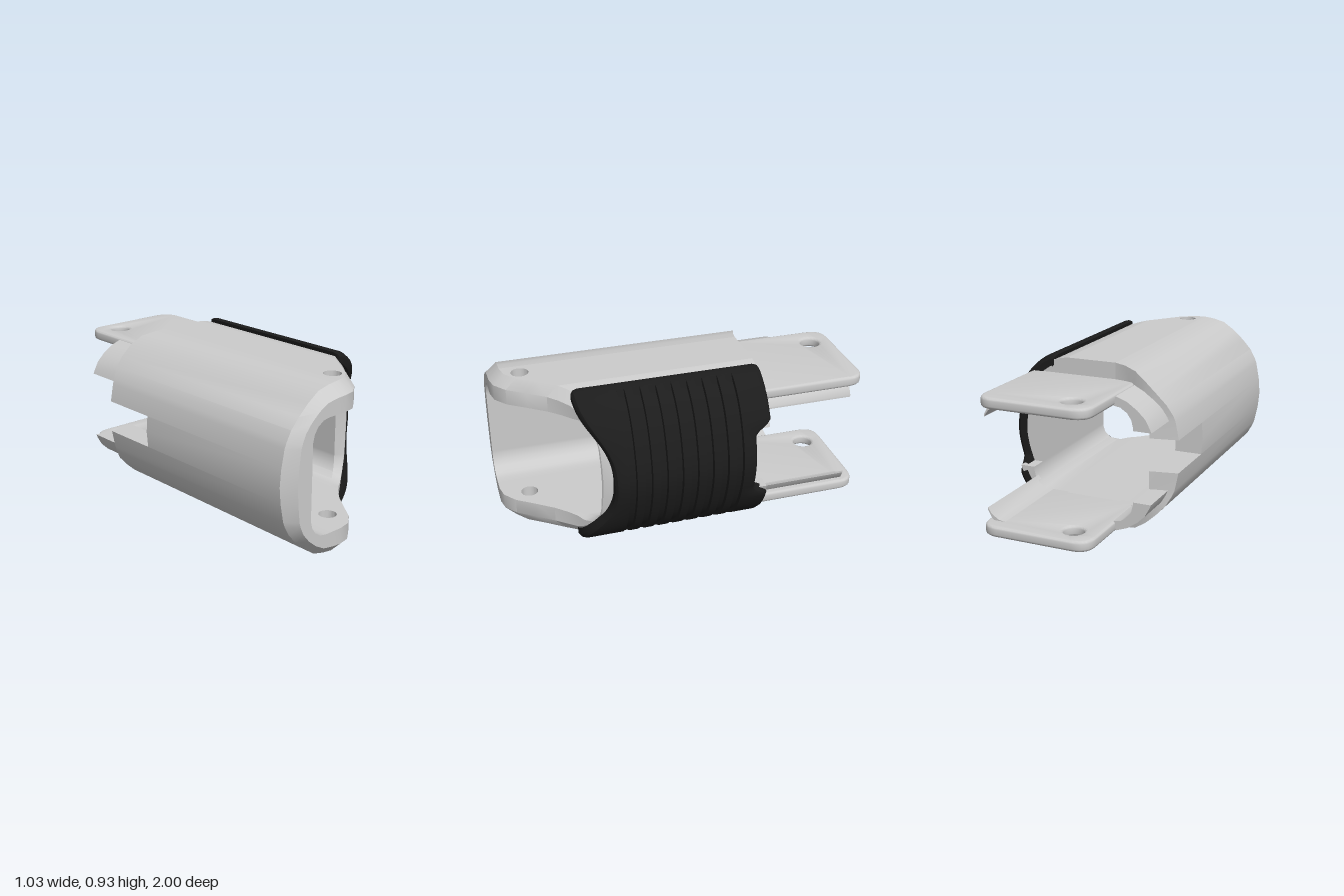
import * as THREE from 'three';
import { toCreasedNormals } from 'three/addons/utils/BufferGeometryUtils.js';

const CY = 0.47; // height of the tube axis
const smooth = (x, a, b) => THREE.MathUtils.smoothstep(x, a, b);
const lerp = THREE.MathUtils.lerp;

// front end of the tube: straight on one side, swept back on the grip side
const FRONT = [[-0.6, 1], [-0.14, 1], [-0.07, 0.985], [0, 0.93], [0.07, 0.83], [0.14, 0.735], [0.22, 0.65], [0.36, 0.55], [0.5, 0.47]];
function frontZ(x) {
  let k = 0;
  while (k < FRONT.length - 2 && x > FRONT[k + 1][0]) k++;
  const [a, b] = [FRONT[k], FRONT[k + 1]];
  return lerp(a[1], b[1], (x - a[0]) / (b[0] - a[0]));
}

// matched quarter sections (x, height above axis), from top centre to the side
const OUTER = [[0, 0.457], [0.07, 0.457], [0.14, 0.457], [0.2, 0.45], [0.27, 0.433], [0.34, 0.385], [0.4, 0.33], [0.45, 0.275], [0.48, 0.22], [0.492, 0.19], [0.512, 0.09], [0.52, 0]];
const INNER = [[0, 0.31], [0.07, 0.31], [0.14, 0.31], [0.2, 0.31], [0.25, 0.31], [0.29, 0.303], [0.328, 0.278], [0.35, 0.245], [0.36, 0.205], [0.36, 0.19], [0.36, 0.09], [0.36, 0]];

// mirror a quarter into a full ring
function ring(q) {
  const flip = (sx, sy) => q.map(([x, y]) => [x * sx, y * sy]);
  return [...flip(1, 1), ...flip(1, -1).reverse().slice(1), ...flip(-1, -1).slice(1), ...flip(-1, 1).reverse().slice(1, -1)];
}
const inner = ring(INNER);
// the grip side is recessed to take the pad
const outer = ring(OUTER).map(([x, v]) => [x > 0.15 ? x * 0.9 : x, v]);
const N = inner.length;

const blend = (a, b, fx, fy = fx) => [lerp(a[0], b[0], fx), lerp(a[1], b[1], fy)];
const at = (p, z) => [p[0], p[1] + CY, z];

function quad(out, a, b, c, d) {
  out.push(...a, ...b, ...c, ...a, ...c, ...d);
}
function soup(out, crease = 0.55) {
  const g = new THREE.BufferGeometry();
  g.setAttribute('position', new THREE.Float32BufferAttribute(out, 3));
  return toCreasedNormals(g, crease);
}
// skin between two matching lists of points
function strip(out, P, Q) {
  for (let k = 0; k < P.length - 1; k++) quad(out, P[k], P[k + 1], Q[k + 1], Q[k]);
}

// thick tube wall, one strip per column, with a stepped notch at the back
function tubeGeometry() {
  const out = [];
  const baseZ = i => {
    const j = (i + 1) % N;
    const x = (inner[i][0] + inner[j][0]) / 2, v = Math.abs(inner[i][1] + inner[j][1]) / 2;
    if (x < -0.3 && v < 0.09) return -0.1;
    if (x > 0.3 && v < 0.19) return -0.31;
    return -0.41;
  };
  const backZ = (p, b) => b < -0.4 ? b - 0.06 * smooth(-p[0], 0.14, 0.36) + 0.03 * smooth(-p[0], 0.42, 0.5) : b;
  const column = (i, b) => {
    const O = outer[i], I = inner[i];
    const rim = blend(O, I, 0.4);
    const flare = blend(I, O, 0.5 * smooth(I[0], 0.25, 0.35));
    return [at(O, backZ(O, b)), at(O, frontZ(O[0]) - 0.06), at(rim, frontZ(rim[0])),
      at(flare, frontZ(flare[0])), at(I, frontZ(I[0]) - 0.06), at(I, backZ(I, b)), at(O, backZ(O, b))];
  };
  for (let i = 0; i < N; i++) {
    const j = (i + 1) % N, b = baseZ(i), prev = baseZ((i + N - 1) % N);
    let P = column(i, b), Q = column(j, b);
    const flat = Math.abs(inner[i][0]) < 0.15 && Math.abs(inner[j][0]) < 0.15;
    if (flat) { P = P.slice(1, 5); Q = Q.slice(1, 5); } // slabs fill the rest
    strip(out, P, Q);
    if (prev !== b) {
      const A = column(i, prev);
      const w = [A[0], P[0], P[5], A[5]];
      quad(out, ...(b > prev ? w : w.reverse()));
    }
  }
  return soup(out);
}

// thin wall running along some of the columns behind the tube
function thinWall(test, z0, z1, fx) {
  const out = [];
  const column = i => {
    const I = inner[i], M = blend(I, outer[i], fx, 0.4);
    return [at(M, z0), at(M, z1), at(I, z1), at(I, z0), at(M, z0)];
  };
  for (let i = 0; i < N; i++) {
    const j = (i + 1) % N;
    if (!test(inner[i]) || !test(inner[j])) continue;
    strip(out, column(i), column(j));
    for (const [c, other] of [[i, (i + N - 1) % N], [j, (j + 1) % N]]) {
      if (!test(inner[other])) quad(out, ...column(c).slice(0, 4));
    }
  }
  return soup(out);
}

// flat slab drawn in plan (x, z) with a round hole
function slab(shape, hx, hz, r, top, thick, bevel) {
  shape.holes.push(new THREE.Path().absarc(hx, hz, r, 0, Math.PI * 2, true));
  const g = new THREE.ExtrudeGeometry(shape, {
    depth: thick - 2 * bevel, curveSegments: 16, bevelEnabled: bevel > 0,
    bevelSize: bevel, bevelThickness: bevel, bevelOffset: -bevel, bevelSegments: 3
  });
  g.rotateX(Math.PI / 2).translate(0, top - bevel, 0);
  return toCreasedNormals(g, 0.55);
}
function wallShape() {
  const s = new THREE.Shape().moveTo(-0.14, -0.41);
  for (const x of [-0.14, -0.07, 0, 0.07, 0.14]) s.lineTo(x, frontZ(x) - 0.06);
  return s.lineTo(0.14, -0.41);
}
function tongueShape() {
  const r = 0.1, a = -0.26, b = 0.355;
  return new THREE.Shape().moveTo(b, -0.38).lineTo(a, -0.38).lineTo(a, -1 + r)
    .quadraticCurveTo(a, -1, a + r, -1).lineTo(b - r, -1).quadraticCurveTo(b, -1, b, -1 + r);
}

// ribbed pad wrapped round the swept side
function gripGeometry() {
  const half = [[0.195, 0.45], [0.22, 0.467], [0.26, 0.458], [0.3, 0.435], [0.36, 0.385], [0.41, 0.325], [0.45, 0.255], [0.48, 0.18], [0.505, 0.09], [0.515, 0]];
  const pts = [...half, ...half.slice(0, -1).reverse().map(([x, v]) => [x, -v])];
  const curve = new THREE.CatmullRomCurve3(pts.map(p => new THREE.Vector3(p[0], p[1], 0)));
  const n = 64, T = 0.06, cols = [];
  for (let i = 0; i <= n; i++) {
    const p = curve.getPointAt(i / n), t = curve.getTangentAt(i / n);
    const v = Math.abs(p.y);
    const zf = lerp(0.465, 0.625, Math.pow(smooth(v, 0, 0.47), 1.6));
    const zb = lerp(-0.325, -0.415, smooth(v, 0.16, 0.25));
    const cut = 0.02 * smooth(p.x, 0.26, 0.3);
    const rows = [[zf, 0], [zf, 0.035], [zf - 0.012, 0.052], [zf - 0.035, T]];
    for (let k = 0; k < 8; k++) {
      const c = 0.37 - k * 0.085;
      rows.push([c + 0.021, T], [c + 0.018, T - cut], [c - 0.018, T - cut], [c - 0.021, T]);
    }
    rows.push([zb + 0.035, T], [zb + 0.012, 0.052], [zb, 0.035], [zb, 0], [zf, 0]);
    const end = i === 0 || i === n ? 0.3 : 1;
    // outward normal of the section is (-t.y, t.x)
    cols.push(rows.map(([z, h]) => {
      const d = h * end - T;
      return at([p.x - t.y * d, p.y + t.x * d], z);
    }));
  }
  const out = [];
  for (let i = 0; i < n; i++) strip(out, cols[i + 1].slice().reverse(), cols[i].slice().reverse());
  // close the two long edges
  for (const c of [cols[0], cols[n]]) {
    for (let k = 1; k < c.length - 2; k++) out.push(...c[0], ...c[k], ...c[k + 1]);
  }
  return soup(out, 0.6);
}

export function createModel() {
  const group = new THREE.Group();
  const grey = new THREE.MeshStandardMaterial({ color: 0xcccccc, side: THREE.DoubleSide });
  const black = new THREE.MeshStandardMaterial({ color: 0x1c1c1c, side: THREE.DoubleSide });
  const add = (name, geometry, material = grey) => {
    const m = new THREE.Mesh(geometry, material);
    m.name = name;
    group.add(m);
  };
  add('tubeBody', tubeGeometry());
  // flat walls with screw holes, and the drilled tongues behind them
  add('topWall', slab(wallShape(), -0.065, 0.84, 0.048, CY + 0.457, 0.147, 0));
  add('bottomWall', slab(wallShape(), -0.065, 0.84, 0.048, CY - 0.31, 0.147, 0));
  add('topTongue', slab(tongueShape(), -0.12, -0.87, 0.055, CY + 0.368, 0.058, 0.015));
  add('bottomTongue', slab(tongueShape(), -0.12, -0.87, 0.055, CY - 0.31, 0.058, 0.015));
  // side arms beside the notch, and the curled edge of the tongues
  for (const s of [1, -1]) {
    const side = s > 0 ? 'top' : 'bottom';
    add(side + 'Arm', thinWall(p => p[0] <= -0.25 && p[1] * s >= 0.189, -0.68, -0.38, 0.75));
    add(side + 'TongueLip', thinWall(p => p[0] >= 0.25 && p[1] * s >= 0.24, -0.92, -0.38, 0));
  }
  add('gripPad', gripGeometry(), black);
  return group;
}
